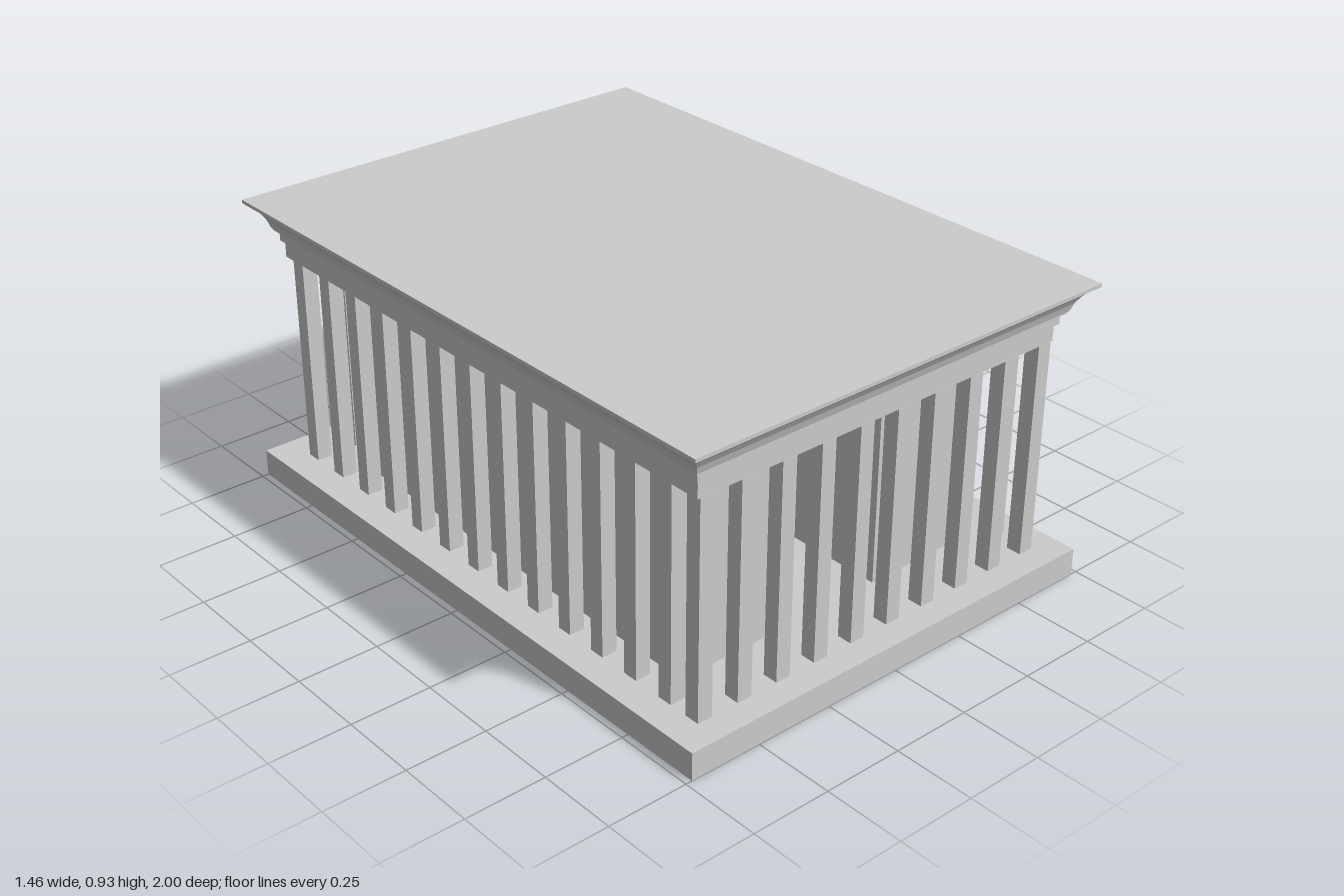
import * as THREE from 'three';

const HALF_X = 0.73, HALF_Z = 1;
const FLOOR = 0.085, SOFFIT = 0.75;

const material = new THREE.MeshStandardMaterial({ color: 0xcccccc, flatShading: true });

function addBox(parent, name, [x0, x1], [y0, y1], [z0, z1]) {
  const mesh = new THREE.Mesh(new THREE.BoxGeometry(x1 - x0, y1 - y0, z1 - z0), material);
  mesh.position.set((x0 + x1) / 2, (y0 + y1) / 2, (z0 + z1) / 2);
  mesh.name = name;
  parent.add(mesh);
}

// Rectangular moulding: each profile step is [inset from the roof edge, height]
function mouldingGeometry(profile) {
  const positions = [], indices = [];
  for (const [inset, y] of profile) {
    const x = HALF_X - inset, z = HALF_Z - inset;
    positions.push(x, y, z, x, y, -z, -x, y, -z, -x, y, z);
  }
  for (let i = 0; i < profile.length - 1; i++) {
    for (let j = 0; j < 4; j++) {
      const a = i * 4 + j, b = i * 4 + (j + 1) % 4;
      indices.push(a, b, b + 4, a, b + 4, a + 4);
    }
  }
  const t = (profile.length - 1) * 4;
  indices.push(0, 2, 1, 0, 3, 2, t, t + 1, t + 2, t, t + 2, t + 3);
  const geometry = new THREE.BufferGeometry();
  geometry.setAttribute('position', new THREE.Float32BufferAttribute(positions, 3));
  geometry.setIndex(indices);
  const flat = geometry.toNonIndexed();
  flat.computeVertexNormals();
  return flat;
}

export function createModel() {
  const model = new THREE.Group();
  model.name = 'colonnadedTemple';

  // Base platform
  addBox(model, 'base', [-HALF_X, HALF_X], [0, FLOOR], [-HALF_Z, HALF_Z]);

  // Square columns around the whole building
  const columns = new THREE.Group();
  columns.name = 'columns';
  model.add(columns);
  const w = 0.024;
  const addColumn = (name, x, z) =>
    addBox(columns, name, [x - w, x + w], [FLOOR, SOFFIT], [z - w, z + w]);
  const sideX = 0.615, frontZ = 0.894, backZ = -0.867;
  for (let i = 0; i < 10; i++) {
    const x = -sideX + (i * 2 * sideX) / 9;
    addColumn('frontColumn', x, frontZ);
    addColumn('backColumn', x, backZ);
  }
  for (let i = 0; i < 12; i++) {
    const z = 0.789 + (i * (backZ - 0.789)) / 12;
    addColumn('leftColumn', sideX, z);
    addColumn('rightColumn', -sideX, z);
  }

  // Two inner halls with an open passage between them
  addBox(model, 'leftHall', [0.165, 0.545], [FLOOR, SOFFIT], [-0.763, 0.747]);
  addBox(model, 'rightHall', [-0.545, -0.165], [FLOOR, SOFFIT], [-0.763, 0.747]);

  // Stepped beams and flaring cornice under a flat roof
  const entablature = new THREE.Mesh(mouldingGeometry([
    [0.083, SOFFIT], [0.083, 0.802],
    [0.073, 0.802], [0.073, 0.835],
    [0.06, 0.835], [0.06, 0.842],
    [0.056, 0.842], [0.048, 0.866], [0.035, 0.888],
    [0.018, 0.905], [0, 0.917], [0, 0.928],
  ]), material);
  entablature.name = 'entablature';
  model.add(entablature);

  return model;
}
